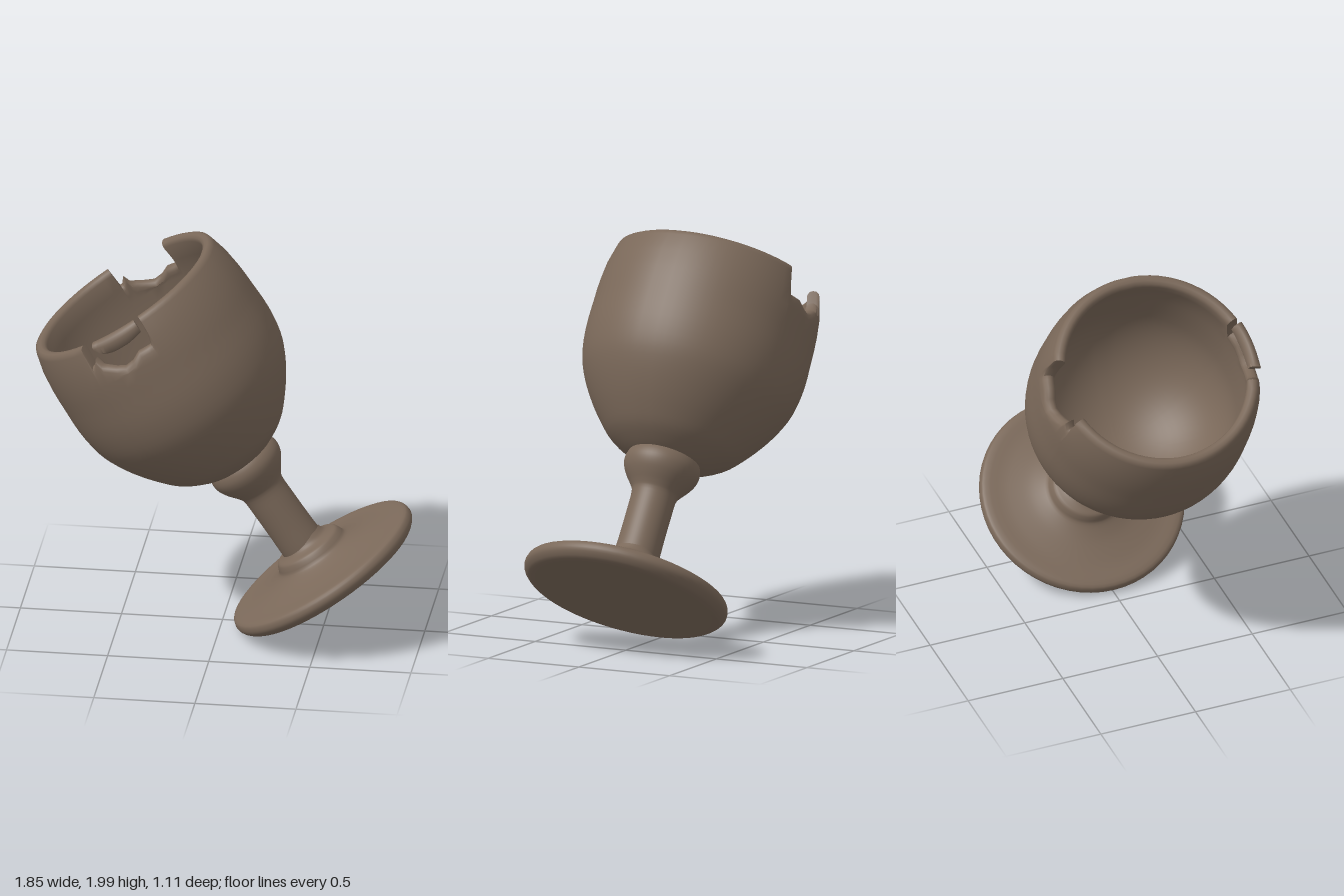
import * as THREE from 'three';
import { toCreasedNormals } from 'three/addons/utils/BufferGeometryUtils.js';

const V2 = (p) => new THREE.Vector2(p[0], p[1]);
const RIM = 1.768, WALL = 0.062, RIM_R = 0.517;

// Outer bowl radius near the rim
const outer = (t) => 0.554 - 0.037 * ((t - 1.45) / 0.315) ** 2;

// Piecewise linear lookup in [x, y] pairs
function lookup(pts, x) {
  if (x <= pts[0][0]) return pts[0][1];
  for (let i = 1; i < pts.length; i++) {
    const [x0, y0] = pts[i - 1], [x1, y1] = pts[i];
    if (x <= x1) return y0 + (y1 - y0) * (x - x0) / (x1 - x0);
  }
  return pts[pts.length - 1][1];
}

// Broken edge of the rim: sideways position, height
const notch = [[-0.17, RIM], [-0.164, 1.66], [-0.152, 1.66], [-0.128, 1.69], [-0.115, 1.65],
  [-0.052, 1.612], [-0.008, 1.592], [0.04, 1.6], [0.087, 1.625], [0.155, 1.622],
  [0.168, 1.665], [0.172, 1.70], [0.176, RIM]];

// Skin a list of columns, each { a: angle, pts: [[radius, height], ...] }
function skin(columns) {
  const n = columns[0].pts.length, pos = [], idx = [];
  columns.forEach(({ a, pts }) => pts.forEach(([r, t]) => pos.push(r * Math.sin(a), t, r * Math.cos(a))));
  for (let i = 0; i < columns.length - 1; i++) {
    for (let j = 0; j < n - 1; j++) {
      const p = i * n + j, q = p + n;
      idx.push(p, q, q + 1, p, q + 1, p + 1);
    }
  }
  const g = new THREE.BufferGeometry();
  g.setAttribute('position', new THREE.Float32BufferAttribute(pos, 3));
  g.setIndex(idx);
  return toCreasedNormals(g, 0.9);
}

// Rounded lip from the outer to the inner wall, ending at height top
function lip(top) {
  const r = outer(top);
  return [[r, top - 0.028], [r - 0.007, top - 0.009], [r - 0.022, top],
    [r - WALL + 0.022, top], [r - WALL + 0.007, top - 0.009], [r - WALL, top - 0.028]];
}

function bowlGeometry() {
  const outside = new THREE.SplineCurve([[0.165, 0.735], [0.21, 0.75], [0.305, 0.808], [0.372, 0.878],
    [0.44, 0.968], [0.5, 1.07], [0.538, 1.17], [0.556, 1.3], [0.554, 1.45]].map(V2))
    .getPoints(24).map((p) => [p.x, p.y]);
  // The inside ends in a hemisphere
  const inside = [[outer(1.45) - WALL, 1.45], [0.494, 1.38]];
  for (let i = 0; i <= 18; i++) {
    const q = (i * Math.PI) / 36;
    inside.push([0.494 * Math.cos(q), 1.3 - 0.485 * Math.sin(q)]);
  }

  // Column angles for one half, with extra ones at every break point
  const breaks = notch.map(([s]) => Math.asin(s / RIM_R));
  const half = [...breaks];
  for (let i = 0; i < 36; i++) {
    const a = -Math.PI / 2 + (i * Math.PI) / 36;
    if (breaks.every((b) => Math.abs(a - b) > 0.03)) half.push(a);
  }
  const angles = [...half, ...half.map((a) => Math.PI - a)].sort((p, q) => p - q);
  angles.push(angles[0] + Math.PI * 2);

  return skin(angles.map((a) => {
    const top = lookup(notch, RIM_R * Math.sin(a));
    const rows = [1.5, 1.555, 1.555 + 0.5 * (top - 0.028 - 1.555)];
    return {
      a,
      pts: [...outside, ...rows.map((t) => [outer(t), t]), ...lip(top),
        ...rows.reverse().map((t) => [outer(t) - WALL, t]), ...inside],
    };
  }));
}

// Loose fragment of the rim, closed at both ends, pushed slightly outward
function shardGeometry() {
  const bottom = [[-0.1, 1.738], [-0.082, 1.705], [-0.04, 1.688], [0.0, 1.684], [0.07, 1.686], [0.148, 1.702]];
  const columns = [], r = outer(RIM) + 0.01;
  for (let i = 0; i <= 14; i++) {
    const s = -0.1 + (0.248 * i) / 14;
    const low = lookup(bottom, s), h = RIM - low;
    const pts = [[r, low + h * 0.12], [r, low + h * 0.6], [r - 0.008, RIM - h * 0.15], [r - 0.024, RIM],
      [r - WALL + 0.024, RIM], [r - WALL + 0.008, RIM - h * 0.15], [r - WALL, low + h * 0.4],
      [r - WALL + 0.01, low], [r - 0.01, low], [r, low + h * 0.12]];
    columns.push({ a: Math.asin(s / RIM_R), pts });
  }
  const cap = (c) => ({ a: c.a, pts: c.pts.map(() => [r - WALL / 2, (c.pts[0][1] + RIM) / 2]) });
  return skin([cap(columns[0]), ...columns, cap(columns[14])]);
}

export function createModel() {
  const clay = new THREE.MeshStandardMaterial({ color: 0x7a6859 });
  clay.name = 'brown clay';
  const goblet = new THREE.Group();
  goblet.name = 'goblet';
  const add = (name, geometry, parent) => {
    const mesh = new THREE.Mesh(geometry, clay);
    mesh.name = name;
    parent.add(mesh);
  };
  // Subgroup leaning by some degrees off the main axis
  const part = (name, degrees, x, y) => {
    const group = new THREE.Group();
    group.name = name;
    group.rotation.z = THREE.MathUtils.degToRad(degrees);
    group.position.set(x, y, 0);
    goblet.add(group);
    return group;
  };
  const lathe = (pts) => new THREE.LatheGeometry(new THREE.SplineCurve(pts.map(V2)).getPoints(pts.length * 3), 56);

  // Round foot with a stepped collar
  const base = part('base', -0.9, 0.008, -0.004);
  add('footUnderside', new THREE.CircleGeometry(0.45, 56).rotateX(Math.PI / 2).translate(0, -0.015, 0), base);
  add('foot', lathe([[0.45, -0.015], [0.482, -0.008], [0.51, 0.02], [0.512, 0.05], [0.49, 0.074],
    [0.4, 0.08], [0.3, 0.097], [0.24, 0.115], [0.195, 0.137], [0.182, 0.162], [0.168, 0.185],
    [0.138, 0.197], [0.114, 0.212], [0.1, 0.24]]), base);
  // Stem with the knob under the bowl
  add('stem', lathe([[0.112, 0.14], [0.112, 0.22], [0.11, 0.32], [0.11, 0.45], [0.112, 0.54], [0.128, 0.575],
    [0.158, 0.615], [0.18, 0.652], [0.19, 0.69], [0.185, 0.725], [0.17, 0.755]]), part('stemAndKnob', 0, -0.003, 0));
  // Bowl and its fragment
  const cup = part('cup', -1.6, -0.052, 0);
  add('bowl', bowlGeometry(), cup);
  add('rimShard', shardGeometry(), cup);

  // Tilt the whole goblet
  goblet.rotation.z = THREE.MathUtils.degToRad(34.6);
  goblet.position.set(0.51, 0.275, 0);
  const model = new THREE.Group();
  model.name = 'brokenGoblet';
  model.add(goblet);
  return model;
}
